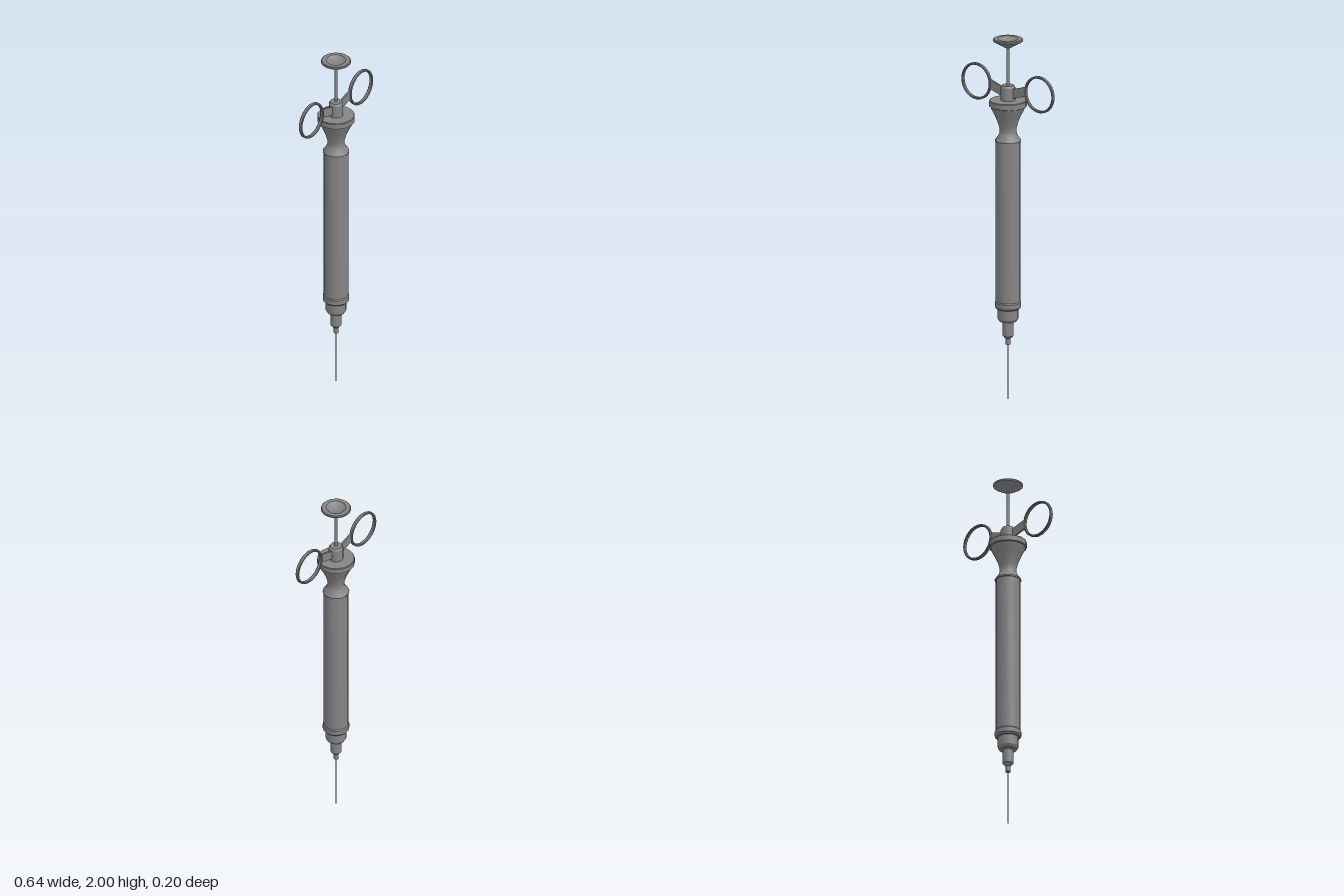
import * as THREE from 'three';
import { toCreasedNormals } from 'three/addons/utils/BufferGeometryUtils.js';

const material = new THREE.MeshStandardMaterial({ color: 0x858585 });

function addMesh(parent, name, geometry) {
  const mesh = new THREE.Mesh(geometry, material);
  mesh.name = name;
  parent.add(mesh);
  return mesh;
}

// Turned part from [radius, height] pairs, listed bottom to top
function turned(parent, name, profile, sides = 16) {
  const points = profile.map(([r, y]) => new THREE.Vector2(r, y));
  return addMesh(parent, name, toCreasedNormals(new THREE.LatheGeometry(points, sides), 0.45));
}

export function createModel() {
  const model = new THREE.Group();
  model.name = 'syringe';

  // Needle and its stepped hub
  turned(model, 'needle', [[0, 0], [0.004, 0.004], [0.004, 0.32], [0, 0.32]], 8);
  turned(model, 'needleHub', [
    [0, 0.305], [0.013, 0.305], [0.013, 0.338], [0.018, 0.342], [0.029, 0.354],
    [0.029, 0.43], [0.046, 0.434], [0.056, 0.45], [0.056, 0.51], [0, 0.51],
  ]);

  // Barrel with its lower retaining ring
  turned(model, 'barrelRing', [
    [0, 0.504], [0.062, 0.504], [0.071, 0.514], [0.071, 0.54], [0.066, 0.546], [0, 0.546],
  ], 24);
  turned(model, 'barrel', [[0, 0.52], [0.066, 0.52], [0.066, 1.434], [0, 1.434]], 24);

  // Flared grip
  turned(model, 'flaredGrip', [
    [0, 1.43], [0.071, 1.43], [0.071, 1.437], [0.052, 1.463], [0.045, 1.482],
    [0.046, 1.505], [0.056, 1.54], [0.073, 1.58], [0.09, 1.612], [0.094, 1.624],
    [0.101, 1.627], [0.101, 1.656], [0.098, 1.66], [0, 1.66],
  ]);

  // Collar and plunger
  turned(model, 'collar', [
    [0, 1.65], [0.039, 1.65], [0.039, 1.73], [0.032, 1.742], [0, 1.742],
  ]);
  turned(model, 'plungerRod', [[0, 1.73], [0.008, 1.73], [0.008, 1.965], [0, 1.965]], 12);
  turned(model, 'thumbRest', [
    [0, 1.947], [0.01, 1.947], [0.074, 1.983], [0.08, 1.988], [0.08, 1.996],
    [0.076, 2], [0.054, 2], [0.045, 1.992], [0.025, 1.983], [0, 1.98],
  ], 24);

  // Finger loops, each on a slanted flat arm
  const armShape = new THREE.Shape([
    [0.03, 1.672], [0.121, 1.7], [0.121, 1.753], [0.03, 1.724],
  ].map(([x, y]) => new THREE.Vector2(x, y)));
  const armGeometry = new THREE.ExtrudeGeometry(armShape, { depth: 0.01, bevelEnabled: false });
  armGeometry.translate(0, 0, -0.005);

  for (const [side, angle] of [['left', 0], ['right', Math.PI]]) {
    const handle = new THREE.Group();
    handle.name = side + 'FingerHandle';
    handle.rotation.y = angle;
    addMesh(handle, side + 'Arm', armGeometry);
    const loop = turned(handle, side + 'FingerLoop', [
      [0.089, -0.006], [0.092, -0.01], [0.098, -0.01], [0.101, -0.006],
      [0.101, 0.006], [0.098, 0.01], [0.092, 0.01], [0.089, 0.006], [0.089, -0.006],
    ], 32);
    loop.rotation.x = Math.PI / 2;
    loop.position.set(0.218, 1.727, 0);
    model.add(handle);
  }

  return model;
}
